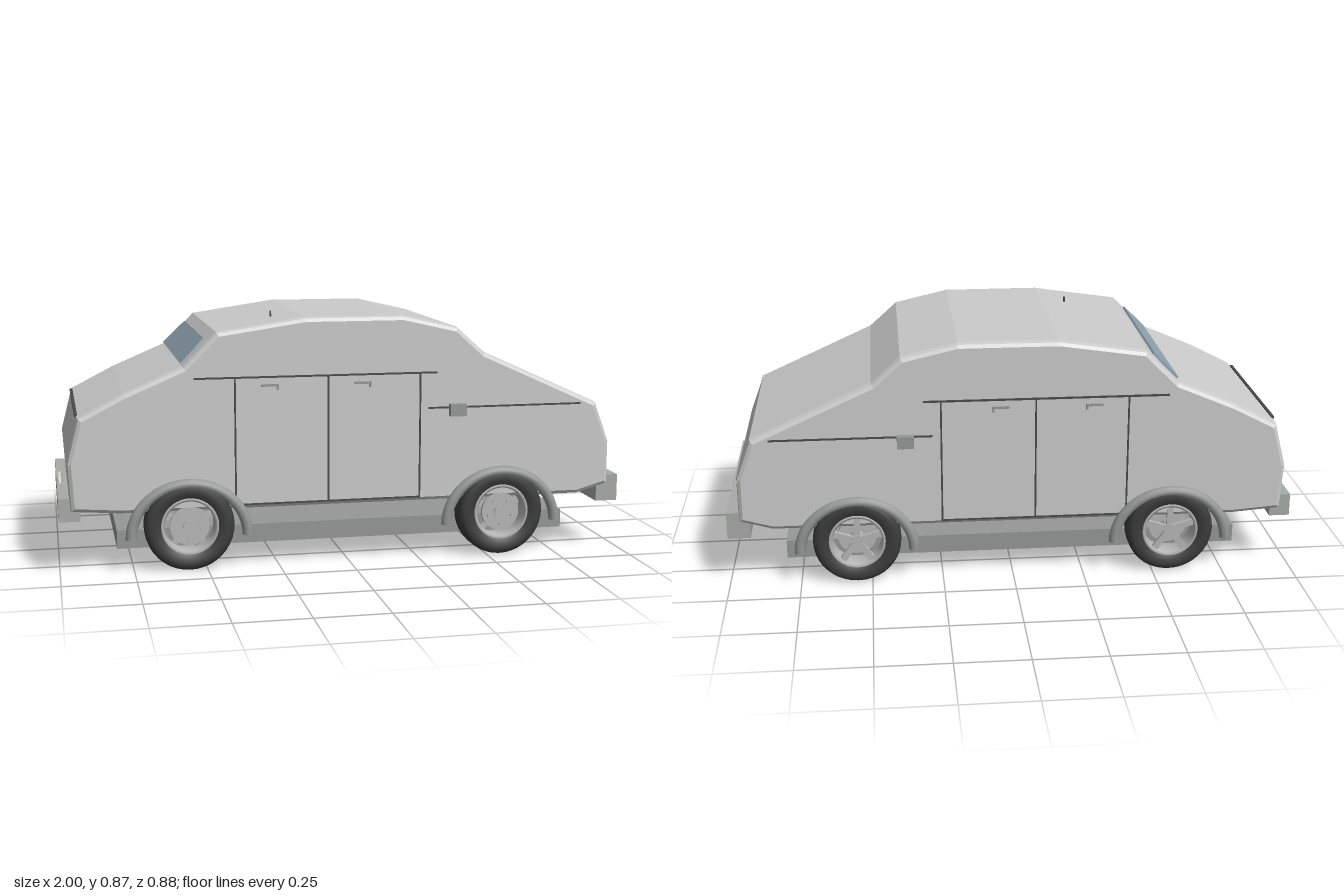
import * as THREE from 'three';

const mat = (color) => new THREE.MeshStandardMaterial({ color });
const BODY = mat(0xcccccc), TRIM = mat(0x969898), BUMPER = mat(0xa8aca6), SEAM = mat(0x4a4a4a);
const RUBBER = mat(0x3c3c3c), METAL = mat(0xb8b8b8), GLASS = mat(0x8fa3ad), PLATE = mat(0xe4e0d0);
RUBBER.side = METAL.side = THREE.DoubleSide;

function add(parent, name, geometry, material, x = 0, y = 0, z = 0) {
  const mesh = new THREE.Mesh(geometry, material);
  mesh.name = name;
  mesh.position.set(x, y, z);
  parent.add(mesh);
  return mesh;
}

// Box given by its limits on each axis
function box(parent, name, material, x0, x1, y0, y1, z0, z1) {
  return add(parent, name, new THREE.BoxGeometry(x1 - x0, y1 - y0, z1 - z0), material,
    (x0 + x1) / 2, (y0 + y1) / 2, (z0 + z1) / 2);
}

// Lathe whose axis is turned to lie along z; points are [radius, z]
function latheZ(points, segments) {
  const pts = points.map(([r, z]) => new THREE.Vector2(r, z));
  return new THREE.LatheGeometry(pts, segments).rotateX(Math.PI / 2);
}

const rod = (r, length, sides = 20) =>
  new THREE.CylinderGeometry(r, r, length, sides).rotateX(Math.PI / 2);

function makeWheel() {
  const wheel = new THREE.Group();
  wheel.name = 'wheel';
  add(wheel, 'tire', latheZ([
    [0.098, -0.038], [0.115, -0.046], [0.135, -0.047], [0.148, -0.04], [0.154, -0.028], [0.155, 0],
    [0.154, 0.028], [0.148, 0.04], [0.135, 0.047], [0.115, 0.046], [0.098, 0.038],
  ], 40), RUBBER);
  add(wheel, 'rim', latheZ([
    [0.1, -0.038], [0.096, -0.043], [0.088, -0.038], [0.086, 0], [0.088, 0.038], [0.096, 0.043], [0.1, 0.038],
  ], 40), METAL);
  // Brake disc and hub on one face, five open spokes on the other
  add(wheel, 'brakeDisc', rod(0.068, 0.012, 32), METAL, 0, 0, 0.022);
  add(wheel, 'hub', rod(0.022, 0.07), METAL);
  for (let i = 0; i < 5; i++) {
    const a = Math.PI / 2 + i * Math.PI * 2 / 5;
    const spoke = add(wheel, 'spoke', new THREE.BoxGeometry(0.078, 0.022, 0.014), METAL,
      0.053 * Math.cos(a), 0.053 * Math.sin(a), -0.026);
    spoke.rotation.z = a;
    const b = a + Math.PI / 5;
    add(wheel, 'wheelNut', rod(0.006, 0.012, 8), METAL, 0.045 * Math.cos(b), 0.045 * Math.sin(b), 0.03);
  }
  return wheel;
}

export function createModel() {
  const car = new THREE.Group();
  car.name = 'car';

  // Body: side profile extruded across the car with a chamfered edge
  const profile = [
    [-0.96, 0.22], [-0.97, 0.385], [-0.93, 0.54], [-0.775, 0.62], [-0.575, 0.705], [-0.46, 0.82],
    [-0.155, 0.865], [0.19, 0.865], [0.385, 0.82], [0.485, 0.73], [0.905, 0.54], [0.957, 0.4],
    [0.957, 0.24], [0.84, 0.207], [-0.79, 0.207],
  ].map(([x, y]) => new THREE.Vector2(x, y));
  const bevel = 0.028, half = 0.383;
  const shell = new THREE.ExtrudeGeometry(new THREE.Shape(profile), {
    depth: 2 * (half - bevel), bevelThickness: bevel, bevelSize: 0.016, bevelOffset: -0.016, bevelSegments: 2,
  });
  add(car, 'body', shell, BODY, 0, 0, bevel - half);

  // Chassis floor and bumpers
  box(car, 'chassis', TRIM, -0.805, 0.8, 0.075, 0.14, -0.323, 0.323);
  box(car, 'frontBumper', BUMPER, 0.92, 1, 0.174, 0.27, -0.362, 0.362);
  box(car, 'rearBumper', BUMPER, -1, -0.927, 0.186, 0.266, -0.36, 0.36);
  box(car, 'frontPlate', PLATE, 0.982, 0.99, 0.2, 0.272, -0.09, 0.09);
  box(car, 'rearPlate', PLATE, -0.992, -0.984, 0.16, 0.268, -0.1, 0.1);
  add(car, 'exhaust', rod(0.016, 0.065), TRIM, -0.962, 0.164, -0.21);

  // Front grille slots and rear lid seam
  for (const y of [0.318, 0.342, 0.366])
    box(car, 'grilleSlot', TRIM, 0.952, 0.962, y - 0.005, y + 0.005, -0.175, 0.175);
  box(car, 'lidSeam', SEAM, -0.937, -0.927, 0.536, 0.546, -0.305, 0.305);

  // Rear window: a thin trapezoid laid on the sloping back
  const pane = new THREE.Shape([
    new THREE.Vector2(-0.335, -0.058), new THREE.Vector2(0.335, -0.058),
    new THREE.Vector2(0.31, 0.058), new THREE.Vector2(-0.31, 0.058),
  ]);
  const glass = add(car, 'rearWindow',
    new THREE.ExtrudeGeometry(pane, { depth: 0.008, bevelEnabled: false }), GLASS, -0.532, 0.748, 0);
  glass.rotation.set(0, -Math.PI / 2, 0);
  glass.rotateX(-Math.PI / 4);

  // Roof aerial
  add(car, 'aerial', new THREE.CylinderGeometry(0.003, 0.004, 0.03, 8), SEAM, -0.245, 0.857, 0.187);

  for (const side of [1, -1]) {
    // Thin strips lying on the flank
    const strip = (name, material, x0, x1, y0, y1, out = 0.387) => {
      const z = [side * 0.378, side * out].sort((a, b) => a - b);
      box(car, name, material, x0, x1, y0, y1, z[0], z[1]);
    };
    strip('windowLine', SEAM, -0.54, 0.31, 0.662, 0.668, 0.389);
    strip('fenderLine', SEAM, 0.28, 0.84, 0.537, 0.543);
    strip('doorBottomSeam', SEAM, -0.4, 0.25, 0.222, 0.228, 0.385);
    for (const x of [-0.4, -0.077, 0.25]) strip('doorSeam', SEAM, x - 0.003, x + 0.003, 0.222, 0.665, 0.385);
    for (const x of [-0.28, 0.045]) {
      strip('doorHandle', TRIM, x - 0.03, x + 0.03, 0.632, 0.64, 0.387);
      strip('doorHandleEnd', TRIM, x + 0.022, x + 0.03, 0.62, 0.632, 0.387);
    }

    // Door mirror on a short arm
    add(car, 'mirrorArm', new THREE.BoxGeometry(0.025, 0.02, 0.045), TRIM, 0.374, 0.53, side * 0.397);
    add(car, 'mirror', new THREE.BoxGeometry(0.058, 0.042, 0.026), TRIM, 0.374, 0.537, side * 0.426);

    // Wheels and their arches
    for (const x of [-0.56, 0.55]) {
      const wheel = makeWheel();
      wheel.position.set(x, 0.158, side * 0.355);
      car.add(wheel);
      const arch = add(car, 'wheelArch', new THREE.TorusGeometry(0.2, 0.019, 10, 32, Math.PI), TRIM,
        x, 0.12, side * 0.385);
      arch.scale.y = 0.93;
    }
  }
  return car;
}
